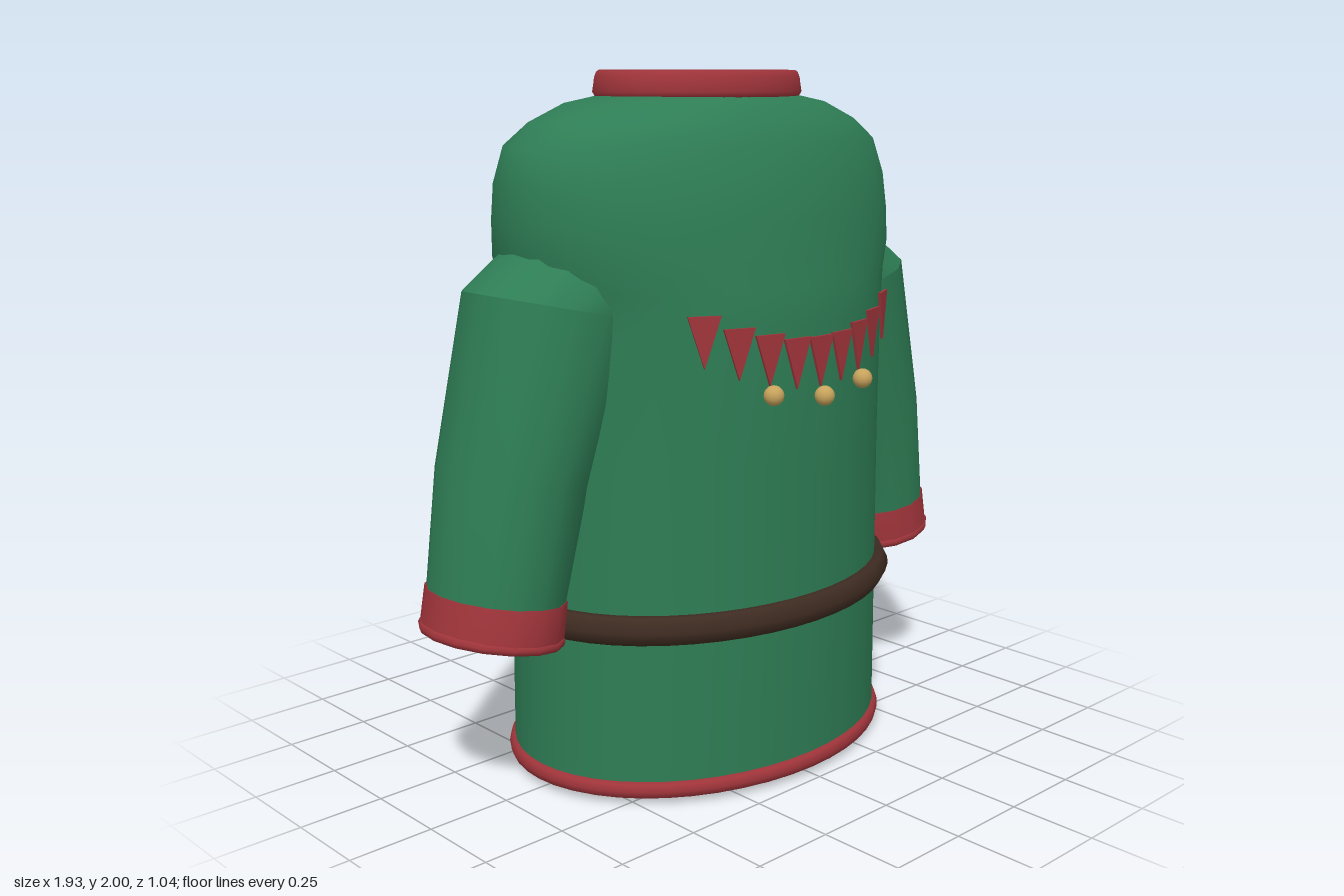
import * as THREE from 'three';

const DS = THREE.DoubleSide;
const mat = (name, color) => new THREE.MeshStandardMaterial({ name, color, side: DS });
const Z0 = -0.01; // depth of the garment's axis

// Skin over elliptical rings; ring = { c: centre, u: half axis in xy, w: half depth in z }
function loft(rings, sides, closed = false) {
  const pos = [], idx = [], n = rings.length;
  for (const { c, u, w } of rings) {
    for (let i = 0; i < sides; i++) {
      const a = (i / sides) * Math.PI * 2;
      pos.push(c[0] + u[0] * Math.cos(a), c[1] + u[1] * Math.cos(a), c[2] + w * Math.sin(a));
    }
  }
  for (let r = 0; r < (closed ? n : n - 1); r++) {
    for (let i = 0; i < sides; i++) {
      const j = (i + 1) % sides, s = ((r + 1) % n) * sides;
      const a = r * sides + i, b = r * sides + j, c = s + j, d = s + i;
      idx.push(a, d, b, b, d, c);
    }
  }
  const g = new THREE.BufferGeometry();
  g.setAttribute('position', new THREE.Float32BufferAttribute(pos, 3));
  g.setIndex(idx);
  g.computeVertexNormals();
  return g;
}

// Horizontal elliptical ring
const level = (y, rx, rz) => ({ c: [0, y, Z0], u: [rx, 0], w: rz });

// Elliptical hoop with a rounded or faceted section
function hoop(y, rx, rz, t, h, steps) {
  const rings = [];
  for (let i = 0; i < steps; i++) {
    const a = (-i / steps) * Math.PI * 2;
    rings.push(level(y + h * Math.sin(a), rx + t * Math.cos(a), rz + t * Math.cos(a)));
  }
  return loft(rings, 48, true);
}

// Ring of a sleeve from its outer and inner edge points
function span(s, ox, oy, ix, iy, w, grow = 0) {
  const k = 1 + grow;
  return {
    c: [s * (ox + ix) / 2, (oy + iy) / 2, Z0],
    u: [s * k * (ox - ix) / 2, k * (oy - iy) / 2],
    w: w * k,
  };
}

// Thin downward-pointing flag, top edge at the origin
function pennantGeometry(width, height) {
  const shape = new THREE.Shape();
  shape.moveTo(-width / 2, 0);
  shape.lineTo(0, -height);
  shape.lineTo(width / 2, 0);
  return new THREE.ExtrudeGeometry(shape, { depth: 0.008, bevelEnabled: false });
}

export function createModel() {
  const model = new THREE.Group();
  model.name = 'tunic';
  const green = mat('green cloth', 0x2e7d55);
  const red = mat('red trim', 0xa1353b);
  const brown = mat('brown leather', 0x3f2c22);
  const gold = mat('gold metal', 0xc7a35c);

  const add = (name, geometry, material, parent = model) => {
    const m = new THREE.Mesh(geometry, material);
    m.name = name;
    parent.add(m);
    return m;
  };

  // Open torso with rounded shoulders: y, half width, half depth
  const torso = [
    [0.03, 0.615, 0.47], [0.5, 0.61, 0.47], [0.95, 0.605, 0.47], [1.32, 0.61, 0.47],
    [1.42, 0.635, 0.455], [1.5, 0.668, 0.44], [1.6, 0.673, 0.425], [1.7, 0.67, 0.402],
    [1.8, 0.642, 0.365], [1.86, 0.56, 0.33], [1.91, 0.44, 0.28], [1.93, 0.32, 0.24],
  ];
  add('torso', loft(torso.map((r) => level(...r)), 48), green);

  // Neck band with inner wall
  const collar = [
    [1.925, 0.325, 0.248], [1.94, 0.334, 0.255], [1.965, 0.33, 0.251], [1.98, 0.328, 0.249],
    [1.995, 0.322, 0.243], [2.0, 0.314, 0.235], [1.99, 0.305, 0.226], [1.925, 0.305, 0.226],
  ];
  add('collar', loft(collar.map((r) => level(...r)), 48, true), red);

  // Belt, hidden buckle plate and hem
  add('belt', hoop(0.51, 0.615, 0.47, 0.04, 0.045, 6), brown);
  add('buckle', new THREE.BoxGeometry(0.12, 0.08, 0.03), gold).position.set(0, 0.5, 0.425);
  add('hem', hoop(0.04, 0.612, 0.467, 0.02, 0.026, 8), red);

  // Sleeves: shoulder cap, tapering tube, cuff and rolled lip
  for (const s of [1, -1]) {
    const sleeve = new THREE.Group();
    sleeve.name = s > 0 ? 'leftSleeve' : 'rightSleeve';
    model.add(sleeve);
    const shoulder = span(s, 0.79, 1.43, 0.31, 1.32, 0.243);
    add('shoulderCap', loft([span(s, 0.57, 1.6, 0.2, 1.34, 0.22), shoulder], 16), green, sleeve);
    add('sleeveTube', loft([
      shoulder,
      span(s, 0.893, 0.96, 0.5, 0.89, 0.222),
      span(s, 0.935, 0.64, 0.58, 0.58, 0.207),
      span(s, 0.953, 0.53, 0.595, 0.47, 0.2),
    ], 16), green, sleeve);
    const cuffTop = [0.94, 0.64, 0.575, 0.58, 0.208], cuffEnd = [0.955, 0.545, 0.592, 0.482, 0.208];
    add('cuff', loft([
      span(s, ...cuffTop, -0.02), span(s, ...cuffTop, 0.01), span(s, ...cuffEnd, 0.02),
    ], 16), red, sleeve);
    add('cuffLip', loft([
      span(s, 0.955, 0.548, 0.592, 0.485, 0.206, 0.02),
      span(s, 0.958, 0.535, 0.593, 0.472, 0.207, 0.045),
      span(s, 0.958, 0.522, 0.593, 0.459, 0.206, 0.02),
      span(s, 0.957, 0.525, 0.593, 0.462, 0.204, -0.05),
      span(s, 0.955, 0.545, 0.592, 0.482, 0.204, -0.05),
    ], 16, true), red, sleeve);
  }

  // Garland of pennants across the chest
  const garland = new THREE.Group();
  garland.name = 'garland';
  model.add(garland);
  const flag = pennantGeometry(0.092, 0.14);
  const tops = [1.29, 1.293, 1.31, 1.333, 1.37];
  for (let i = -4; i <= 4; i++) {
    const x = i * 0.089, z = 0.485 * Math.sqrt(1 - (x / 0.625) ** 2) + Z0;
    const p = add('pennant', flag, red, garland);
    p.position.set(x, tops[Math.abs(i)], z);
    p.rotation.y = Math.atan2(x / 0.625 ** 2, (z - Z0) / 0.485 ** 2);
  }

  // Small bells under the garland
  const bell = new THREE.SphereGeometry(0.028, 16, 12);
  for (const [x, y, z] of [[-0.18, 1.147, 0.475], [0, 1.125, 0.495], [0.18, 1.147, 0.475]]) {
    add('bell', bell, gold, garland).position.set(x, y, z);
  }

  // Pennants tucked inside the front of the hem
  const hemFlag = pennantGeometry(0.11, 0.11);
  for (let i = -3; i <= 3; i++) {
    const x = i * 0.14, z = 0.41 * Math.sqrt(1 - (x / 0.55) ** 2);
    const p = add('hemPennant', hemFlag, red);
    p.position.set(x, 0.11, z);
    p.rotation.y = Math.atan2(x / 0.55 ** 2, z / 0.41 ** 2) * 0.7;
  }

  return model;
}
